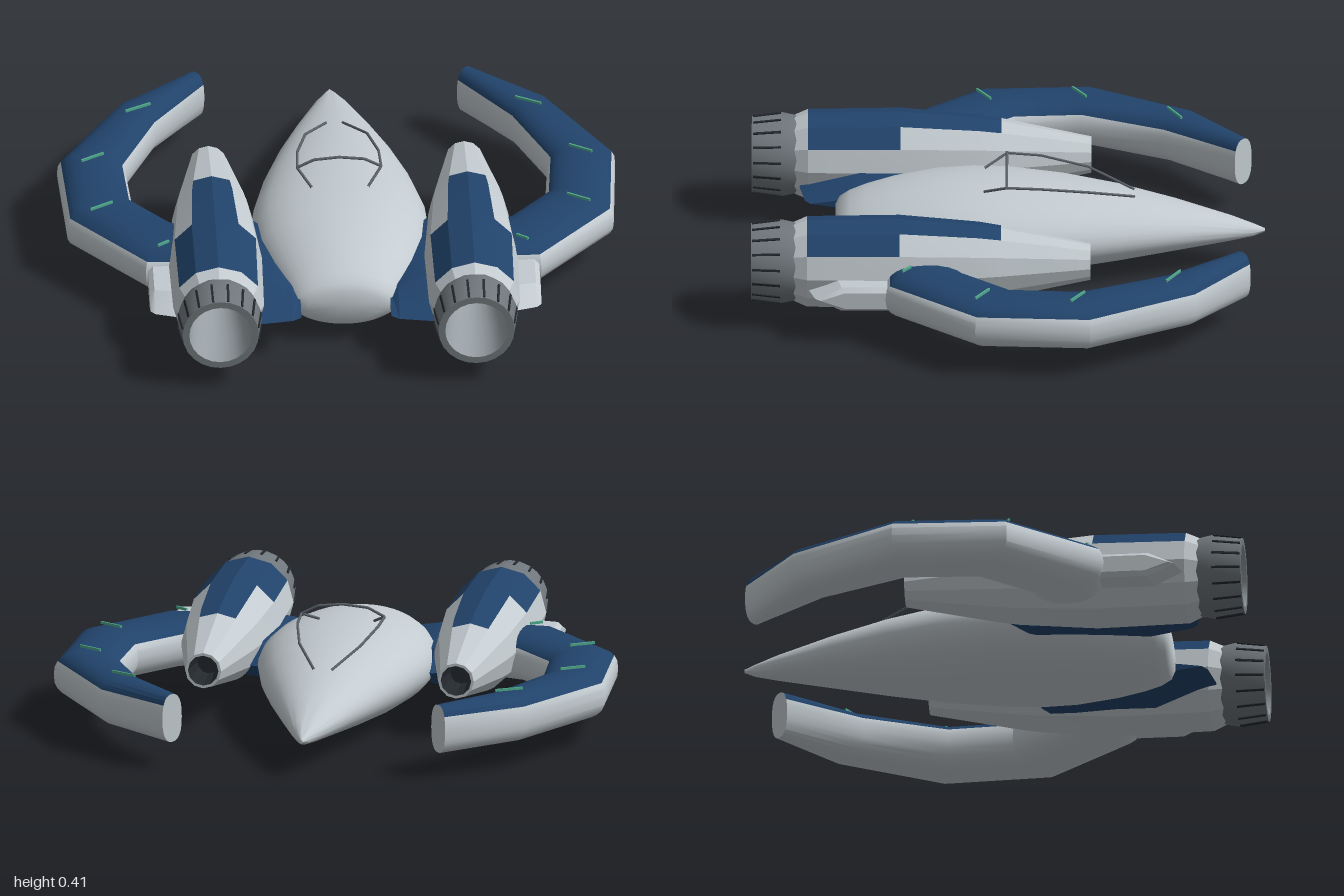
import * as THREE from 'three';
import { toCreasedNormals } from 'three/addons/utils/BufferGeometryUtils.js';

const mat = (name, color) => {
  const m = new THREE.MeshStandardMaterial({ color });
  m.name = name;
  return m;
};
const MATS = [
  mat('hull grey', 0xc3cbd0), mat('navy panel', 0x21436b), mat('nozzle grey', 0x70777c),
  mat('dark slot', 0x24292e), mat('cyan glow', 0x5cc8cf), mat('green marking', 0x4fa98c),
  mat('frame grey', 0x5c646b), mat('lining grey', 0x969ea3),
];
const [HULL, NAVY, NOZZLE, DARK, GLOW, GREEN, FRAME, LINING] = MATS.keys();

// Closed skin over equal-sized rings; paint(i, j) picks the colour of each quad
function loft(name, rings, crease, paint = () => HULL, caps = [HULL, HULL]) {
  const n = rings[0].length, tris = [];
  for (let i = 0; i < rings.length - 1; i++) {
    for (let j = 0; j < n; j++) {
      const k = (j + 1) % n, m = paint(i, j);
      const a = rings[i][j], b = rings[i][k], c = rings[i + 1][k], d = rings[i + 1][j];
      tris.push([m, a, b, c], [m, a, c, d]);
    }
  }
  [rings[0], rings[rings.length - 1]].forEach((ring, e) => {
    const mid = new THREE.Vector3();
    ring.forEach(p => mid.addScaledVector(p, 1 / n));
    ring.forEach((p, j) => {
      const q = ring[(j + 1) % n];
      tris.push(e ? [caps[1], mid, p, q] : [caps[0], mid, q, p]);
    });
  });
  // Turn the skin outward whichever way the rings run
  let volume = 0;
  const t = new THREE.Vector3();
  for (const [, a, b, c] of tris) volume += a.dot(t.crossVectors(b, c));
  tris.sort((p, q) => p[0] - q[0]);
  const pts = [];
  let geo = new THREE.BufferGeometry();
  const counts = MATS.map(() => 0);
  for (const [m, a, b, c] of tris) {
    pts.push(...(volume > 0 ? [a, b, c] : [a, c, b]));
    counts[m] += 3;
  }
  geo.setFromPoints(pts);
  geo = toCreasedNormals(geo, crease);
  geo.clearGroups();
  let start = 0;
  counts.forEach((count, m) => {
    if (count) geo.addGroup(start, count, m);
    start += count;
  });
  const mesh = new THREE.Mesh(geo, MATS);
  mesh.name = name;
  return mesh;
}

const circle = (z, r, n) => Array.from({ length: n }, (_, j) => {
  const a = j / n * Math.PI * 2;
  return new THREE.Vector3(Math.cos(a) * r, Math.sin(a) * r, z);
});

// Thin rod bent along straight segments
function rod(name, points) {
  const path = new THREE.CurvePath();
  const v = points.map(p => new THREE.Vector3(...p));
  for (let i = 1; i < v.length; i++) path.add(new THREE.LineCurve3(v[i - 1], v[i]));
  const mesh = new THREE.Mesh(new THREE.TubeGeometry(path, 40, 0.005, 6), MATS[FRAME]);
  mesh.name = name;
  return mesh;
}

function fuselage() {
  // z, half width, top, bottom
  const stations = [
    [-0.92, 0.004, 0.137, 0.125], [-0.88, 0.025, 0.153, 0.11], [-0.8, 0.06, 0.18, 0.097],
    [-0.6, 0.135, 0.235, 0.07], [-0.4, 0.205, 0.28, 0.043], [-0.2, 0.265, 0.31, 0.02],
    [0, 0.308, 0.326, 0.006], [0.12, 0.315, 0.328, 0], [0.25, 0.303, 0.322, 0.001],
    [0.4, 0.26, 0.3, 0.012], [0.5, 0.222, 0.275, 0.028], [0.56, 0.198, 0.252, 0.045],
    [0.595, 0.175, 0.23, 0.065], [0.61, 0.135, 0.205, 0.09],
  ];
  const rings = stations.map(([z, w, top, bottom]) => circle(z, 1, 40).map(p =>
    p.set(p.x * w, (top + bottom) / 2 + p.y * (top - bottom) / 2, z)));
  return loft('fuselage', rings, 0.9);
}

function canopyFrame() {
  const g = new THREE.Group();
  g.name = 'canopyFrame';
  for (const s of [-1, 1]) {
    g.add(rod('canopyRail', [[0.03 * s, 0.275, -0.455], [0.11 * s, 0.327, -0.29],
      [0.145 * s, 0.355, -0.12], [0.15 * s, 0.362, 0], [0.1 * s, 0.325, 0.08]]));
  }
  g.add(rod('canopyArch', [[-0.15, 0.362, 0], [-0.09, 0.393, 0], [0, 0.402, 0],
    [0.09, 0.393, 0], [0.15, 0.362, 0]]));
  return g;
}

function engine(s) {
  const g = new THREE.Group();
  g.name = s > 0 ? 'leftEngine' : 'rightEngine';
  g.position.set(0.456 * s, 0.215, 0);
  // Twelve-sided body, from the inlet throat to the seat of the nozzle
  const body = [[-0.18, 0.04], [-0.3, 0.055], [-0.3, 0.065], [0.02, 0.13], [0.1, 0.143],
    [0.38, 0.167], [0.71, 0.162], [0.76, 0.14], [0.76, 0.115], [0.5, 0.11]];
  g.add(loft('engineBody', body.map(([z, r]) => circle(z, r, 12)), 0.2, (i, j) => {
    if (i < 1) return DARK;
    if ((i === 3 || i === 4) && (j === 2 || j === 3)) return NAVY;
    if (i === 5 && j >= 1 && j <= 4) return NAVY;
    return HULL;
  }, [DARK, DARK]));
  // Nozzle with a lined bore and a glowing end wall
  const nozzle = [[0.73, 0.135], [0.8, 0.15], [0.91, 0.136], [0.91, 0.112],
    [0.76, 0.1], [0.56, 0.074]];
  g.add(loft('nozzle', nozzle.map(([z, r]) => circle(z, r, 24)), 0.5,
    i => (i < 3 ? NOZZLE : LINING), [NOZZLE, GLOW]));
  for (let k = 0; k < 16; k++) {
    const slot = new THREE.Mesh(new THREE.BoxGeometry(0.008, 0.006, 0.1), MATS[DARK]);
    slot.geometry.rotateX(0.127).translate(0, 0.1435, 0.856);
    slot.rotation.z = (k + 0.5) / 16 * Math.PI * 2;
    slot.name = 'nozzleSlot';
    g.add(slot);
  }
  return g;
}

// Lens-shaped section of a pylon at one x
const blade = (x, z0, z1, y0, y1) => {
  const y = (y0 + y1) / 2, d = z1 - z0;
  return [[z0, y], [z0 + d * 0.15, y1], [z1 - d * 0.3, y1], [z1, y],
    [z1 - d * 0.3, y0], [z0 + d * 0.15, y0]].map(p => new THREE.Vector3(x, p[1], p[0]));
};

function pylons(s) {
  const g = new THREE.Group();
  g.name = s > 0 ? 'leftPylons' : 'rightPylons';
  g.add(loft('innerPylon', [blade(0.16 * s, 0.2, 0.7, 0.135, 0.177),
    blade(0.19 * s, 0.15, 0.72, 0.115, 0.195), blade(0.31 * s, 0.02, 0.74, 0.09, 0.22),
    blade(0.37 * s, 0.04, 0.72, 0.09, 0.22)], 0.4, () => NAVY, [NAVY, NAVY]));
  g.add(loft('outerFin', [blade(0.55 * s, 0.36, 0.72, 0.125, 0.215),
    blade(0.68 * s, 0.37, 0.68, 0.125, 0.215), blade(0.697 * s, 0.38, 0.66, 0.14, 0.2)], 0.4));
  return g;
}

function claw(s) {
  const g = new THREE.Group();
  g.name = s > 0 ? 'leftClaw' : 'rightClaw';
  // Outer x, z and inner x, z along the curved arm
  const spans = [[0.51, -0.87, 0.45, -0.81], [0.77, -0.68, 0.63, -0.55],
    [0.995, -0.3, 0.75, -0.26], [0.975, 0.11, 0.735, -0.03],
    [0.705, 0.43, 0.6, 0.13], [0.47, 0.43, 0.47, 0.2]];
  const round = v => Math.sign(v) * Math.abs(v) ** 0.8;
  const rings = spans.map(([ox, oz, ix, iz]) => circle(0, 1, 24).map(p => {
    const u = (round(p.x) + 1) / 2;
    return p.set(s * (ix + (ox - ix) * u), 0.178 + 0.088 * round(p.y), iz + (oz - iz) * u);
  }));
  g.add(loft('clawArm', rings, 0.6, (i, j) => (j >= 2 && j < 10 ? NAVY : HULL)));
  // Short green dashes on the top skin
  for (const [x0, z0, x1, z1] of [[0.65, -0.62, 0.74, -0.57], [0.83, -0.28, 0.91, -0.23],
    [0.81, 0.06, 0.89, 0.11], [0.62, 0.34, 0.66, 0.37]]) {
    const dash = new THREE.Mesh(
      new THREE.BoxGeometry(Math.hypot(x1 - x0, z1 - z0), 0.009, 0.007), MATS[GREEN]);
    dash.position.set(s * (x0 + x1) / 2, 0.27, (z0 + z1) / 2);
    dash.rotation.y = -s * Math.atan2(z1 - z0, x1 - x0);
    dash.name = 'greenMarking';
    g.add(dash);
  }
  return g;
}

export function createModel() {
  const model = new THREE.Group();
  model.name = 'spacecraft';
  model.add(fuselage(), canopyFrame());
  for (const s of [1, -1]) model.add(engine(s), pylons(s), claw(s));
  return model;
}
